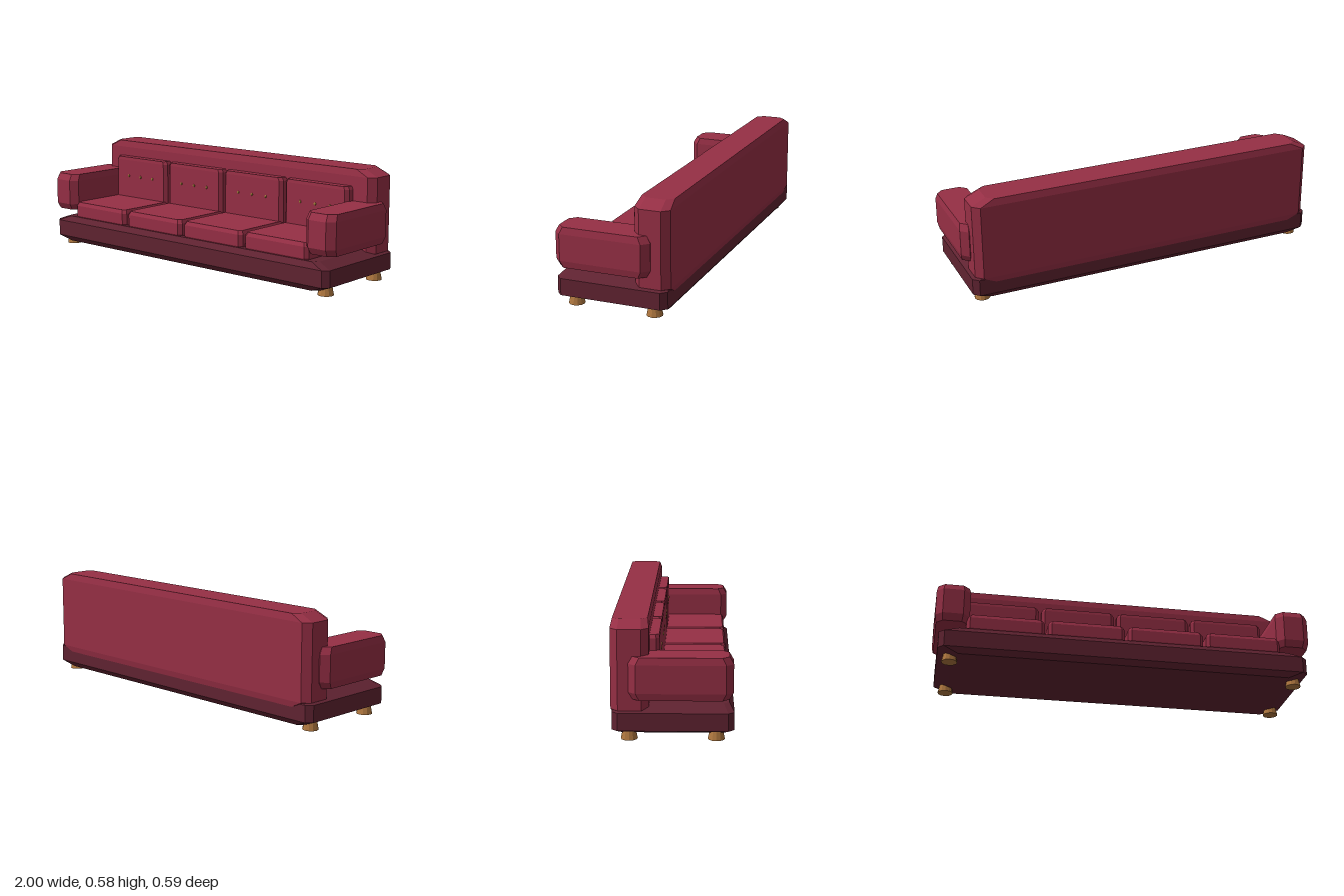
import * as THREE from 'three';

const mat = (name, color) => {
  const m = new THREE.MeshStandardMaterial({ color });
  m.name = name;
  return m;
};

// Block with an octagonal plan whose top and bottom rings shrink by a factor
function paddedBlock({ w, d, y0, y1, corner, bevel, shrink }) {
  const x = w / 2, z = d / 2, c = corner;
  const plan = [
    [x, -z + c], [x, z - c], [x - c, z], [-x + c, z],
    [-x, z - c], [-x, -z + c], [-x + c, -z], [x - c, -z],
  ];
  const rings = [[y0, shrink], [y0 + bevel, 1], [y1 - bevel, 1], [y1, shrink]]
    .map(([y, s]) => plan.map(([px, pz]) => [px * s, y, pz * s]));
  const pos = [];
  const tri = (...pts) => pts.forEach((p) => pos.push(...p));
  const n = plan.length;
  for (let r = 0; r < 3; r++) {
    for (let i = 0; i < n; i++) {
      const j = (i + 1) % n, lo = rings[r], hi = rings[r + 1];
      tri(lo[i], hi[i], hi[j]);
      tri(lo[i], hi[j], lo[j]);
    }
  }
  for (let i = 1; i < n - 1; i++) {
    tri(rings[0][0], rings[0][i], rings[0][i + 1]);
    tri(rings[3][0], rings[3][i + 1], rings[3][i]);
  }
  const g = new THREE.BufferGeometry();
  g.setAttribute('position', new THREE.Float32BufferAttribute(pos, 3));
  g.computeVertexNormals();
  return g;
}

// Faceted copy of a built-in geometry
function faceted(geometry) {
  const g = geometry.toNonIndexed();
  g.computeVertexNormals();
  return g;
}

export function createModel() {
  const sofa = new THREE.Group();
  sofa.name = 'sofa';

  const fabric = mat('red fabric', 0x962f45);
  const darkFabric = mat('dark red fabric', 0x602331);
  const wood = mat('wood', 0xb07840);
  const brass = mat('brass', 0x9c7838);

  const add = (name, geometry, material, x = 0, y = 0, z = 0) => {
    const mesh = new THREE.Mesh(geometry, material);
    mesh.name = name;
    mesh.position.set(x, y, z);
    sofa.add(mesh);
    return mesh;
  };

  // Plinth and backrest
  add('base', paddedBlock({
    w: 1.952, d: 0.584, y0: 0.025, y1: 0.17, corner: 0.029, bevel: 0.029, shrink: 0.92,
  }), darkFabric, 0, 0, 0.004);
  add('backrest', paddedBlock({
    w: 1.92, d: 0.184, y0: 0.113, y1: 0.577, corner: 0.036, bevel: 0.036, shrink: 0.92,
  }), fabric, 0, 0, -0.2025);

  // Arms and feet, mirrored left and right
  const arm = paddedBlock({
    w: 0.178, d: 0.498, y0: 0.207, y1: 0.414, corner: 0.036, bevel: 0.035, shrink: 0.92,
  });
  const foot = faceted(new THREE.CylinderGeometry(0.031, 0.041, 0.05, 12));
  for (const side of [-1, 1]) {
    const label = side > 0 ? 'left' : 'right';
    add(`${label}Arm`, arm, fabric, side * 0.911, 0, 0.042);
    add(`${label}FrontFoot`, foot, wood, side * 0.912, 0.025, 0.211);
    add(`${label}BackFoot`, foot, wood, side * 0.912, 0.025, -0.206);
  }

  // Four seat and back cushions, each back cushion with three buttons
  const seat = paddedBlock({
    w: 0.407, d: 0.39, y0: 0.157, y1: 0.256, corner: 0.018, bevel: 0.02, shrink: 0.95,
  });
  const back = paddedBlock({
    w: 0.407, d: 0.1, y0: 0.235, y1: 0.49, corner: 0.018, bevel: 0.017, shrink: 0.95,
  });
  const button = faceted(new THREE.SphereGeometry(0.008, 8, 6));
  for (let i = 0; i < 4; i++) {
    const x = (i - 1.5) * 0.423;
    add(`seatCushion${i + 1}`, seat, fabric, x, 0, 0.075);
    add(`backCushion${i + 1}`, back, fabric, x, 0, -0.112);
    for (const k of [-1, 0, 1]) {
      add('cushionButton', button, brass, x + k * 0.096, 0.38, -0.062).scale.z = 0.6;
    }
  }

  return sofa;
}
